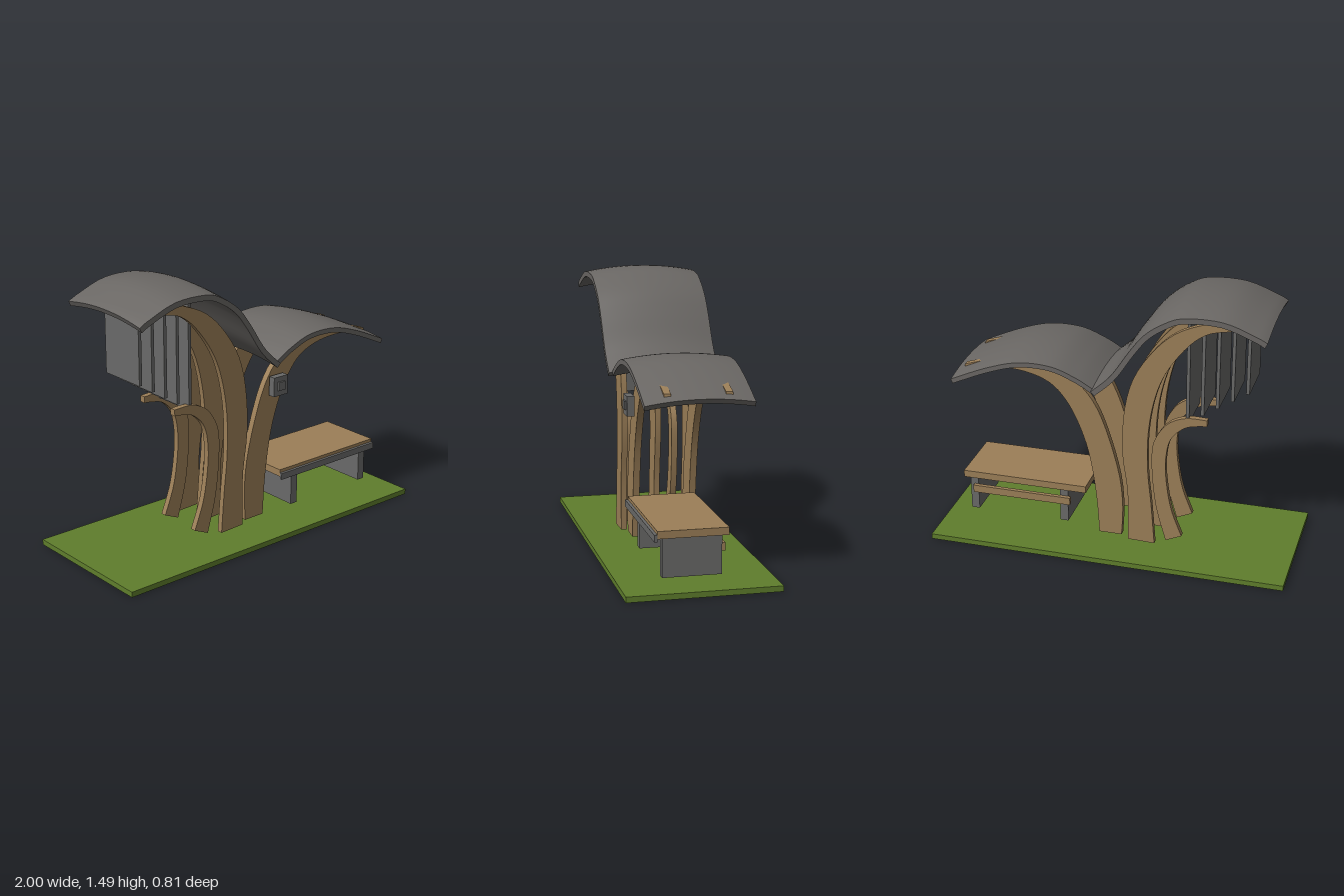
import * as THREE from 'three';
import { toCreasedNormals } from 'three/addons/utils/BufferGeometryUtils.js';

const material = (name, color) => {
  const m = new THREE.MeshStandardMaterial({ color });
  m.name = name;
  return m;
};

// Smooth 2D curve through a few points
const smooth = (pts, n) =>
  new THREE.SplineCurve(pts.map(([x, y]) => new THREE.Vector2(x, y))).getPoints(n);

// Extrude an outline along z, centred on z = 0
function slab(outline, depth, steps = 1) {
  const g = new THREE.ExtrudeGeometry(new THREE.Shape(outline), { depth, steps, bevelEnabled: false });
  return g.translate(0, 0, -depth / 2);
}

// Curved timber rib from its two edges
function ribGeometry(left, right, depth) {
  const outline = [...smooth(right, 32), ...smooth(left, 32).reverse()];
  return toCreasedNormals(slab(outline, depth), 0.5);
}

// Wavy roof sheet that also arches across its width
function roofGeometry(path, halfWidth, thickness, drop) {
  const curve = new THREE.SplineCurve(path.map(([x, y]) => new THREE.Vector2(x, y)));
  const top = [], bottom = [];
  for (let i = 0; i <= 36; i++) {
    const p = curve.getPoint(i / 36), t = curve.getTangent(i / 36);
    top.push(p);
    bottom.push(new THREE.Vector2(p.x + t.y * thickness, p.y - t.x * thickness));
  }
  const g = slab([...bottom, ...top.reverse()], halfWidth * 2, 14);
  const pos = g.attributes.position;
  for (let i = 0; i < pos.count; i++) {
    const k = pos.getZ(i) / halfWidth;
    pos.setY(i, pos.getY(i) - drop * k * k);
  }
  return toCreasedNormals(g, 0.6);
}

export function createModel() {
  const model = new THREE.Group();
  model.name = 'shelter';
  const grass = material('grass', 0x5f7e2c);
  const wood = material('wood', 0x9c7f58);
  const roofGrey = material('roofGrey', 0x6a6764);
  const steel = material('steel', 0x6a6a69);

  const add = (name, geometry, mat, parent = model) => {
    const mesh = new THREE.Mesh(geometry, mat);
    mesh.name = name;
    parent.add(mesh);
    return mesh;
  };
  // Box given by its limits on each axis
  const box = (name, mat, [x0, x1], [y0, y1], [z0, z1], parent) => {
    const mesh = add(name, new THREE.BoxGeometry(x1 - x0, y1 - y0, z1 - z0), mat, parent);
    mesh.position.set((x0 + x1) / 2, (y0 + y1) / 2, (z0 + z1) / 2);
    return mesh;
  };
  const group = (name) => {
    const g = new THREE.Group();
    g.name = name;
    model.add(g);
    return g;
  };

  box('ground', grass, [-1, 1], [0, 0.03], [-0.404, 0.404]);

  // Roof sheets
  add('tallRoof', roofGeometry([[-0.84, 1.4], [-0.78, 1.43], [-0.61, 1.488], [-0.41, 1.488],
    [-0.3, 1.445], [-0.2, 1.372], [-0.12, 1.27], [-0.02, 1.12], [0.09, 1.015]], 0.303, 0.03, 0.03), roofGrey);
  add('lowRoof', roofGeometry([[0.08, 1.015], [0.18, 1.07], [0.32, 1.118], [0.5, 1.118],
    [0.68, 1.065], [0.885, 0.975]], 0.283, 0.027, 0.024), roofGrey);

  // Timber ribs: tall trunks, low arms and short branches
  const ribs = group('timberRibs');
  const ribKinds = [
    { name: 'tallTrunk', depth: 0.032, at: [-0.188, 0, 0.188],
      left: [[-0.24, 0.055], [-0.22, 0.3], [-0.2, 0.5], [-0.2, 0.72], [-0.23, 0.92], [-0.29, 1.09],
        [-0.4, 1.25], [-0.5, 1.335], [-0.6, 1.365], [-0.69, 1.375]],
      right: [[-0.09, 0.06], [-0.088, 0.35], [-0.057, 0.6], [-0.068, 0.85], [-0.12, 1.05],
        [-0.23, 1.22], [-0.35, 1.33], [-0.5, 1.395], [-0.6, 1.41], [-0.7, 1.412]] },
    { name: 'lowArm', depth: 0.036, at: [-0.158, 0.158],
      left: [[-0.045, 0.065], [-0.052, 0.25], [-0.03, 0.45], [0.04, 0.7], [0.11, 0.86], [0.2, 0.965],
        [0.33, 1.035], [0.5, 1.065], [0.62, 1.058], [0.72, 1.036], [0.84, 1.0]],
      right: [[0.083, 0.065], [0.1, 0.3], [0.14, 0.55], [0.2, 0.73], [0.27, 0.86], [0.36, 0.95],
        [0.5, 0.998], [0.68, 1.005], [0.845, 0.972]] },
    { name: 'shortBranch', depth: 0.034, at: [-0.13, 0.13],
      left: [[-0.38, 0.09], [-0.32, 0.25], [-0.29, 0.42], [-0.285, 0.56], [-0.31, 0.68],
        [-0.38, 0.755], [-0.45, 0.778], [-0.508, 0.785]],
      right: [[-0.29, 0.05], [-0.235, 0.25], [-0.21, 0.45], [-0.21, 0.62], [-0.25, 0.72],
        [-0.31, 0.785], [-0.4, 0.82], [-0.508, 0.82]] },
  ];
  for (const { name, depth, at, left, right } of ribKinds) {
    const geometry = ribGeometry(left, right, depth);
    for (const z of at) add(name, geometry, wood, ribs).position.z = z;
  }

  // Hanging slats, longer towards the trunk
  const slats = group('slats');
  for (let i = 0; i < 5; i++) {
    const x = -0.72 + i * 0.08;
    box('slat', steel, [x - 0.009, x + 0.009], [1.0 - i * 0.052, i ? 1.42 : 1.39], [-0.142, 0.142], slats);
  }

  // Bench
  const bench = group('bench');
  box('seat', wood, [0.17, 0.89], [0.28, 0.32], [-0.15, 0.22], bench);
  box('frontRail', steel, [0.17, 0.89], [0.265, 0.302], [0.22, 0.236], bench);
  box('backRail', wood, [0.266, 0.84], [0.185, 0.228], [-0.143, -0.12], bench);
  for (const x of [0.306, 0.84])
    box('leg', steel, [x - 0.023, x + 0.023], [0.07, 0.28], [-0.12, 0.19], bench);

  // Control box on the front arm
  const control = group('controlBox');
  box('case', steel, [0.112, 0.21], [0.766, 0.875], [0.19, 0.23], control);
  box('button', steel, [0.137, 0.185], [0.798, 0.846], [0.23, 0.241], control);

  return model;
}
